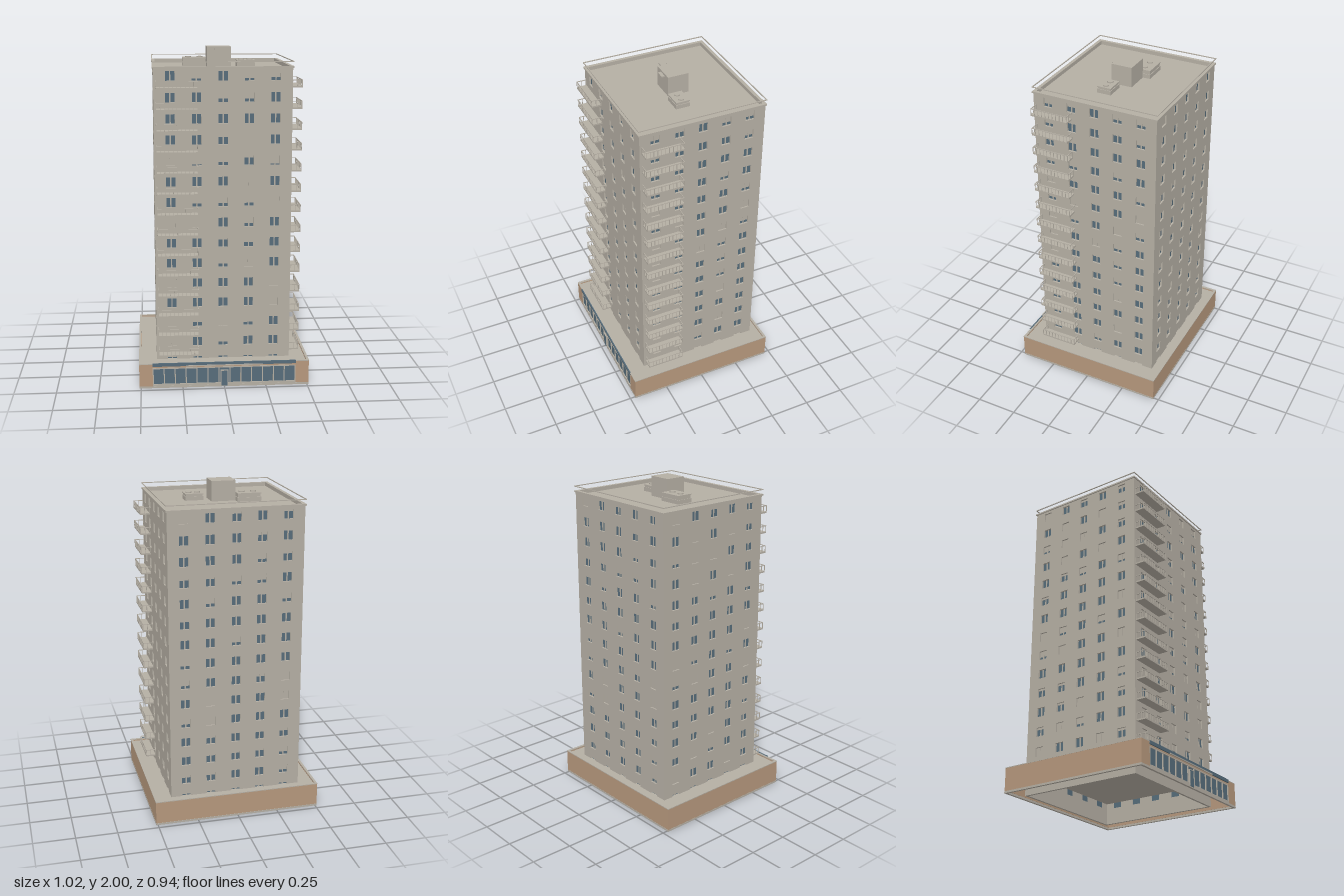
import * as THREE from 'three';
import { mergeGeometries } from 'three/addons/utils/BufferGeometryUtils.js';

const material = (name, color) => {
  const m = new THREE.MeshStandardMaterial({ color });
  m.name = name;
  return m;
};

// Main dimensions
const HW = 0.403, ZF = 0.36, ZB = -0.405, ZC = (ZF + ZB) / 2, HD = (ZF - ZB) / 2;
const TOP = 1.9, T = 0.014, FLOORS = 14, PITCH = 0.1231, SLAB0 = 0.178;
const WIN_W = 0.054, WIN_H = 0.055;

// How much glass each blind leaves open, 0 to 9, top floor first, one string per window column
const FRONT = ['99990990990900', '29991930999949', '93973939739903', '23907033409939', '39991909990099'];
const RIGHT = ['33930300048333', '59937039799999', '99999790777793', '37939903330909', '33993039999999'];

function seededOpenings(seed) {
  let s = seed;
  const next = () => (s = (s * 16807) % 2147483647) / 2147483647;
  const steps = '0339679999';
  return Array.from({ length: 5 }, () =>
    Array.from({ length: FLOORS }, () => steps[Math.floor(next() * 10)]).join(''));
}

export function createModel() {
  const concrete = material('concrete', 0xb4aea3);
  const brick = material('tanCladding', 0xb5977c);
  const glass = material('blueGlass', 0x566c7a);
  const model = new THREE.Group();
  model.name = 'apartmentTower';

  // Boxes given by their limits [x0, x1, y0, y1, z0, z1], merged into one named mesh
  const boxGeo = ([x0, x1, y0, y1, z0, z1]) =>
    new THREE.BoxGeometry(x1 - x0, y1 - y0, z1 - z0)
      .translate((x0 + x1) / 2, (y0 + y1) / 2, (z0 + z1) / 2);
  const boxes = (name, mat, list, parent = model) => {
    const mesh = new THREE.Mesh(mergeGeometries(list.map(boxGeo)), mat);
    mesh.name = name;
    parent.add(mesh);
    return mesh;
  };
  // Four bars round a rectangle
  const ring = (x0, x1, y0, y1, z0, z1, t) => [
    [x0, x1, y0, y1, z1 - t, z1], [x0, x1, y0, y1, z0, z0 + t],
    [x0, x0 + t, y0, y1, z0 + t, z1 - t], [x1 - t, x1, y0, y1, z0 + t, z1 - t]];

  // One facade: a wall with window holes, glass set back, blinds and mullions
  function facade(name, half, columns, openings, turn, x, z) {
    const group = new THREE.Group();
    group.name = name;
    const wall = new THREE.Shape();
    wall.moveTo(-half, 0).lineTo(half, 0).lineTo(half, TOP).lineTo(-half, TOP).closePath();
    const panes = [], blinds = [];
    columns.forEach((u, c) => {
      for (let f = -1; f < FLOORS; f++) {
        const y = SLAB0 + f * PITCH + 0.044, a = u - WIN_W / 2, b = u + WIN_W / 2;
        const hole = new THREE.Path();
        hole.moveTo(a, y).lineTo(a, y + WIN_H).lineTo(b, y + WIN_H).lineTo(b, y).closePath();
        wall.holes.push(hole);
        const open = f < 0 ? 1 : Number(openings[c][FLOORS - 1 - f]) / 9;
        panes.push([a, b, y, y + WIN_H, 0.001, 0.003]);
        blinds.push([u - 0.004, u + 0.004, y, y + WIN_H, 0.002, 0.006]);
        if (open < 1) blinds.push([a, b, y + WIN_H * open, y + WIN_H, 0.002, 0.005]);
      }
    });
    const mesh = new THREE.Mesh(new THREE.ExtrudeGeometry(wall, { depth: T, bevelEnabled: false }), concrete);
    mesh.name = 'wall';
    group.add(mesh);
    boxes('windowGlass', glass, panes, group);
    boxes('blindsAndMullions', concrete, blinds, group);
    group.rotation.y = turn;
    group.position.set(x, 0, z);
    model.add(group);
  }
  const wide = [-0.308, -0.155, 0, 0.152, 0.305], deep = [-0.29, -0.143, 0, 0.143, 0.288];
  facade('frontFacade', HW, wide, FRONT, 0, 0, ZF - T);
  facade('backFacade', HW, wide, seededOpenings(71), Math.PI, 0, ZB + T);
  facade('rightFacade', HD - T, deep, RIGHT, Math.PI / 2, HW - T, ZC);
  facade('leftFacade', HD - T, deep, seededOpenings(523), -Math.PI / 2, -HW + T, ZC);

  // Roof, parapet coping and the thin guard rail above it
  boxes('roofSlab', concrete, [[-HW + T, HW - T, 1.865, 1.88, ZB + T, ZF - T]]);
  boxes('parapetCoping', concrete, ring(-HW - 0.006, HW + 0.006, 1.893, 1.903, ZB - 0.006, ZF + 0.006, 0.02));
  boxes('roofRail', concrete, ring(-HW - 0.006, HW + 0.006, 1.927, 1.932, ZB - 0.006, ZF + 0.006, 0.005));

  // Balcony along local x with its wall edge at z = 0
  function balcony(name, length, depth) {
    const group = new THREE.Group();
    group.name = name;
    const h = length / 2, r = 0.003, top = 0.046;
    boxes('balconySlab', concrete, [[-h, h, 0, 0.009, 0, depth]], group);
    const bars = [
      [-h, h, top - 0.004, top, depth - 0.004, depth],
      [-h, -h + 0.004, top - 0.004, top, 0, depth - 0.004],
      [h - 0.004, h, top - 0.004, top, 0, depth - 0.004]];
    for (let i = 0; i <= 10; i++) {
      const x = -h + r / 2 + (i / 10) * (length - r);
      bars.push([x - r / 2, x + r / 2, 0.009, top - 0.004, depth - r, depth]);
    }
    for (const x of [-h, h - r])
      for (const z of [0, depth / 2]) bars.push([x, x + r, 0.009, top - 0.004, z, z + r]);
    boxes('balconyRailing', concrete, bars, group);
    return group;
  }
  for (let f = 0; f < FLOORS; f++) {
    const y = SLAB0 + f * PITCH;
    const front = balcony('frontBalcony', 0.242, 0.06);
    front.position.set(-0.27, y, ZF);
    const side = balcony('rightBalcony', 0.23, 0.06);
    side.rotation.y = Math.PI / 2;
    side.position.set(HW, y, 0.232);
    model.add(front, side);
  }

  // Podium: open below, with a roof deck, low parapet and plinth
  const PX = 0.51, PZ = 0.468, S = 0.43, W = 0.014;
  boxes('podiumWalls', brick, [
    [-PX, PX, 0.012, 0.148, -PZ, -PZ + W],
    [-PX, -PX + W, 0.012, 0.148, -PZ + W, PZ - W], [PX - W, PX, 0.012, 0.148, -PZ + W, PZ - W],
    [-PX, -S, 0.012, 0.148, PZ - W, PZ], [S, PX, 0.012, 0.148, PZ - W, PZ],
    [-S, S, 0.124, 0.148, PZ - W, PZ - 0.003]]);
  boxes('podiumPlinth', concrete, ring(-PX - 0.001, PX + 0.001, 0, 0.012, -PZ - 0.001, PZ + 0.001, W));
  boxes('podiumCoping', concrete, ring(-PX - 0.001, PX + 0.001, 0.148, 0.153, -PZ - 0.001, PZ + 0.001, W));
  boxes('podiumDeck', concrete, [[-PX + W, PX - W, 0.132, 0.142, -PZ + W, PZ - W]]);

  // Shopfront glazing with mullions, sign band and entrance door
  boxes('shopfrontGlass', glass, [[-S, S, 0.012, 0.124, PZ - 0.01, PZ - 0.006]]);
  const mullions = [[-S, S, 0.119, 0.126, PZ - 0.012, PZ], [-S, S, 0.012, 0.024, PZ - 0.012, PZ]];
  for (let i = 0; i <= 13; i++) {
    const x = -S + 0.003 + (i / 13) * (2 * S - 0.006);
    mullions.push([x - 0.003, x + 0.003, 0.024, 0.119, PZ - 0.012, PZ]);
  }
  boxes('shopfrontMullions', concrete, mullions);
  boxes('fasciaBand', glass, [[-S, S, 0.136, 0.156, PZ - 0.003, PZ + 0.004]]);
  boxes('entranceCanopy', concrete, [[-0.23, 0.23, 0.134, 0.141, PZ, PZ + 0.006]]);
  boxes('entranceDoor', glass, [[-0.019, 0.019, 0.006, 0.1, PZ - 0.004, PZ + 0.003]]);
  boxes('doorFrame', concrete, [
    [-0.023, -0.019, 0.006, 0.104, PZ - 0.004, PZ + 0.004],
    [0.019, 0.023, 0.006, 0.104, PZ - 0.004, PZ + 0.004],
    [-0.019, 0.019, 0.1, 0.104, PZ - 0.004, PZ + 0.004]]);

  // Rooftop stair house and two cooling units with fan drums
  boxes('stairHouse', concrete, [[-0.075, 0.07, 1.88, 2, -0.09, 0.037]]);
  boxes('stairHouseCanopy', concrete, [[-0.028, 0.025, 1.982, 1.988, 0.037, 0.057]]);
  function coolingUnit(name, x0, x1, z0, z1, top, fans) {
    const e = 0.004;
    boxes(name, concrete, [
      [x0 + e, x1 - e, 1.88, top - 0.006, z0 + e, z1 - e], [x0, x1, top - 0.006, top, z0, z1],
      [x0, x1, 1.88, 1.904, z0, z1]]);
    for (const x of fans) {
      const fan = new THREE.Mesh(new THREE.CylinderGeometry(0.018, 0.018, 0.008, 20), concrete);
      fan.name = name + 'Fan';
      fan.position.set(x, top + 0.003, (z0 + z1) / 2);
      model.add(fan);
    }
  }
  coolingUnit('leftCoolingUnit', -0.22, -0.076, -0.137, -0.035, 1.93, [-0.183, -0.113]);
  coolingUnit('rightCoolingUnit', 0.105, 0.215, -0.03, 0.055, 1.92, [0.135, 0.187]);

  return model;
}
